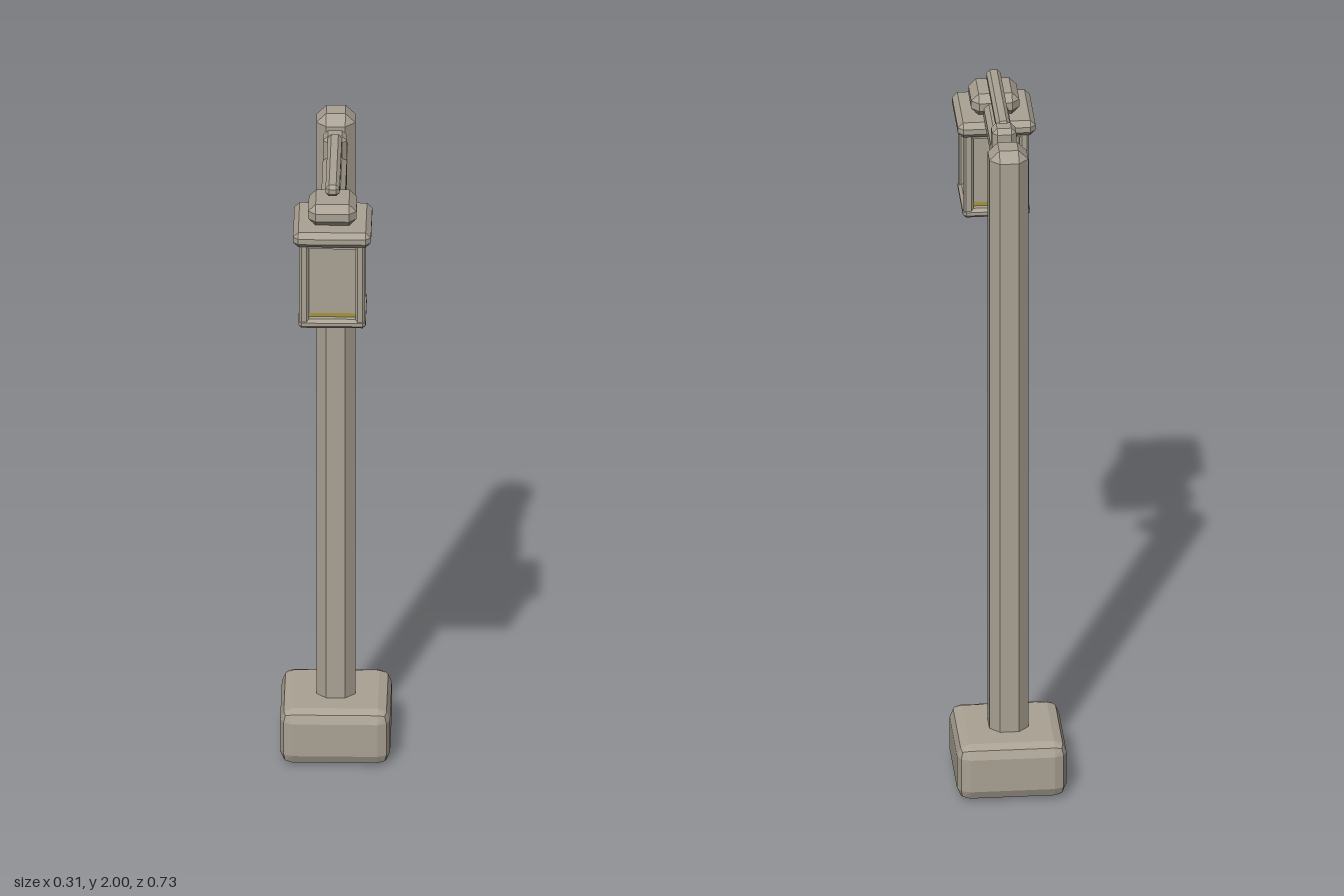
import * as THREE from 'three';
import { ConvexGeometry } from 'three/addons/geometries/ConvexGeometry.js';

const mat = (name, color) => {
  const m = new THREE.MeshStandardMaterial({ color });
  m.name = name;
  return m;
};

// Box with bevelled edges: one flat bevel, or a two-step bevel when soft
function bevelBox(w, h, d, bevel, soft = false) {
  const points = [];
  for (const sx of [-1, 1]) for (const sy of [-1, 1]) for (const sz of [-1, 1]) {
    const dirs = [[1, 0, 0], [0, 1, 0], [0, 0, 1]];
    if (soft) dirs.push([1, 1, 0], [0, 1, 1], [1, 0, 1], [1, 1, 1]);
    for (const dir of dirs) {
      const n = new THREE.Vector3(...dir).normalize().multiplyScalar(bevel);
      points.push(new THREE.Vector3(
        sx * (w / 2 - bevel + n.x), sy * (h / 2 - bevel + n.y), sz * (d / 2 - bevel + n.z)));
    }
  }
  return new ConvexGeometry(points);
}

// Put faces that look steeply downward into the second material group
function groupUnderside(geometry, limit) {
  const normal = geometry.attributes.normal;
  for (let i = 0; i < normal.count; i += 3) {
    geometry.addGroup(i, 3, normal.getY(i) < limit ? 1 : 0);
  }
  return geometry;
}

export function createModel() {
  const group = new THREE.Group();
  const stone = mat('warm grey', 0xaaa294);
  const dark = mat('black underside', 0x161616);
  const glow = mat('dull yellow', 0xa6963a);

  const add = (name, geometry, x, y, z, material = stone, parent = group) => {
    const mesh = new THREE.Mesh(geometry, material);
    mesh.name = name;
    mesh.position.set(x, y, z);
    parent.add(mesh);
    return mesh;
  };

  // Foot and post
  add('base', groupUnderside(bevelBox(0.31, 0.17, 0.31, 0.035, true), -0.8), 0, 0.085, -0.21, [stone, dark]);
  add('post', bevelBox(0.11, 1.9, 0.11, 0.028), 0, 1.05, -0.21);

  // Bracket
  add('arm', bevelBox(0.068, 0.06, 0.4, 0.014), 0, 1.902, 0.02);
  add('crossPiece', bevelBox(0.068, 0.225, 0.064, 0.014), 0, 1.882, -0.07);
  add('topRod', bevelBox(0.04, 0.035, 0.338, 0.01), 0, 1.982, 0.106);
  const strut = add('strut', bevelBox(0.06, 0.05, 0.32, 0.013), 0, 1.731, -0.068);
  strut.rotation.x = Math.atan2(0.69, 0.72);

  // Lantern
  const lantern = new THREE.Group();
  lantern.name = 'lantern';
  lantern.position.z = 0.252;
  group.add(lantern);
  const part = (name, geometry, x, y, z, material) => add(name, geometry, x, y, z, material, lantern);

  part('lanternFinial', bevelBox(0.136, 0.066, 0.136, 0.021), 0, 1.922, 0);
  part('lanternCap', bevelBox(0.22, 0.046, 0.22, 0.015), 0, 1.867, 0);
  part('lanternFloor', bevelBox(0.19, 0.028, 0.19, 0.009), 0, 1.599, 0);
  part('lanternPanels', new THREE.BoxGeometry(0.144, 0.225, 0.144), 0, 1.7375, 0);
  part('lanternGlow', new THREE.BoxGeometry(0.142, 0.018, 0.142), 0, 1.618, 0, glow);
  for (const sx of [-1, 1]) for (const sz of [-1, 1]) {
    part('lanternCorner', bevelBox(0.027, 0.265, 0.027, 0.006), sx * 0.079, 1.724, sz * 0.079);
  }
  // Rails under the cap
  for (const s of [-1, 1]) {
    part('lanternRail', new THREE.BoxGeometry(0.15, 0.014, 0.02), 0, 1.842, s * 0.079);
    part('lanternRail', new THREE.BoxGeometry(0.02, 0.014, 0.15), s * 0.079, 1.842, 0);
  }
  return group;
}
